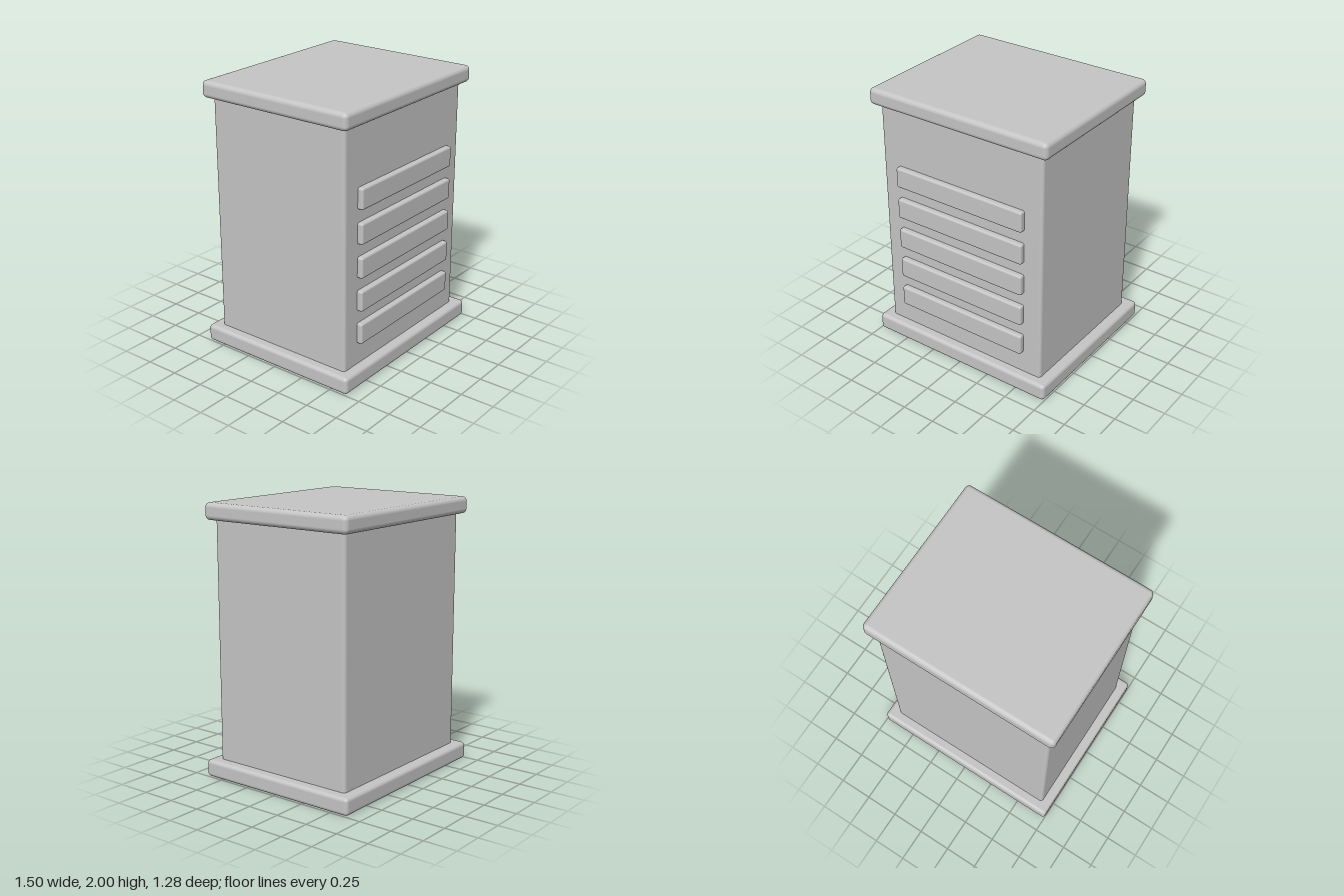
import * as THREE from 'three';
import { RoundedBoxGeometry } from 'three/addons/geometries/RoundedBoxGeometry.js';

export function createModel() {
  const group = new THREE.Group();
  group.name = 'ventedCabinet';

  const grey = new THREE.MeshStandardMaterial({ color: 0xc4c4c4 });
  grey.name = 'grey';

  // Rounded block given by its size, centre and edge radius
  function block(name, [w, h, d], [x, y, z], radius) {
    const mesh = new THREE.Mesh(new RoundedBoxGeometry(w, h, d, 4, radius), grey);
    mesh.name = name;
    mesh.position.set(x, y, z);
    group.add(mesh);
  }

  // Plinth, body and overhanging lid
  block('base', [1.5, 0.127, 1.284], [0, 0.0635, 0], 0.028);
  block('body', [1.348, 1.86, 1.134], [-0.003, 1.0, 0.003], 0.025);
  block('lid', [1.464, 0.123, 1.242], [-0.003, 1.9385, 0.003], 0.034);

  // Five raised slats on the front
  for (let i = 0; i < 5; i++) {
    block('slat' + (i + 1), [1.066, 0.155, 0.09], [-0.003, 0.368 + i * 0.249, 0.566], 0.016);
  }

  return group;
}
